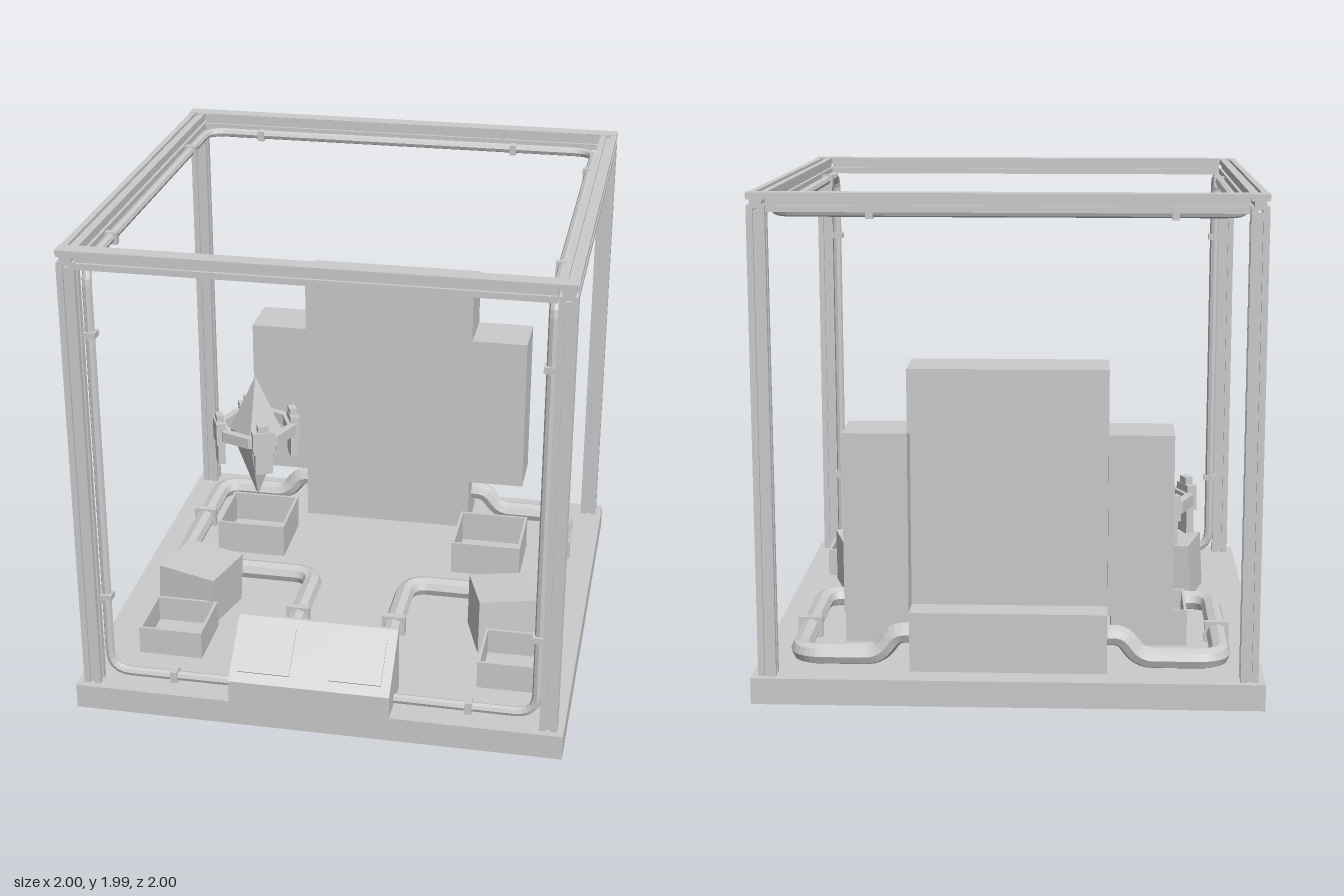
import * as THREE from 'three';

const grey = new THREE.MeshStandardMaterial({ color: 0xcccccc, flatShading: true, side: THREE.DoubleSide });

function add(parent, name, geometry, x = 0, y = 0, z = 0) {
  const mesh = new THREE.Mesh(geometry, grey);
  mesh.name = name;
  mesh.position.set(x, y, z);
  parent.add(mesh);
  return mesh;
}

// Box given by its lower and upper limits
function block(parent, name, [x0, x1], [y0, y1], [z0, z1]) {
  return add(parent, name, new THREE.BoxGeometry(x1 - x0, y1 - y0, z1 - z0),
    (x0 + x1) / 2, (y0 + y1) / 2, (z0 + z1) / 2);
}

function group(parent, name, x = 0, y = 0, z = 0) {
  const g = new THREE.Group();
  g.name = name;
  g.position.set(x, y, z);
  parent.add(g);
  return g;
}

// Pipe along a polyline with rounded corners
function pipe(parent, name, points, radius, bend, segments) {
  const p = points.map(a => new THREE.Vector3(...a));
  const path = new THREE.CurvePath();
  let from = p[0];
  for (let i = 1; i < p.length - 1; i++) {
    const toPrev = p[i - 1].clone().sub(p[i]), toNext = p[i + 1].clone().sub(p[i]);
    const r = Math.min(bend, toPrev.length() * 0.45, toNext.length() * 0.45);
    const a = p[i].clone().addScaledVector(toPrev.normalize(), r);
    const b = p[i].clone().addScaledVector(toNext.normalize(), r);
    path.add(new THREE.LineCurve3(from, a));
    path.add(new THREE.QuadraticBezierCurve3(a, p[i], b));
    from = b;
  }
  path.add(new THREE.LineCurve3(from, p[p.length - 1]));
  return add(parent, name, new THREE.TubeGeometry(path, segments, radius, 8));
}

// Slotted square beam, running along +z before it is turned
function beamGeometry(length) {
  const h = 0.035, w = 0.01, d = 0.012;
  const side = [[-h, -h], [-w, -h], [-w, -h + d], [w, -h + d], [w, -h]];
  const pts = [];
  for (let i = 0; i < 4; i++) {
    for (const [x, y] of side) pts.push(new THREE.Vector2(x, y).rotateAround(new THREE.Vector2(), i * Math.PI / 2));
  }
  return new THREE.ExtrudeGeometry(new THREE.Shape(pts), { depth: length, bevelEnabled: false }).translate(0, 0, -length / 2);
}

// Open tray with thin walls
function tray(parent, x, z, size, height) {
  const g = group(parent, 'tray', x, 0.105, z), s = size / 2, t = 0.012;
  block(g, 'trayFloor', [-s, s], [0, t], [-s, s]);
  for (const k of [-1, 1]) {
    add(g, 'traySide', new THREE.BoxGeometry(t, height, size), k * (s - t / 2), height / 2, 0);
    add(g, 'trayEnd', new THREE.BoxGeometry(size - 2 * t, height, t), 0, height / 2, k * (s - t / 2));
  }
}

// Crate with a hand hole in its back
function crate(parent, x, z, turn, tiltX, tiltZ) {
  const g = group(parent, 'crate', x, 0.1, z), s = 0.132, h = 0.238;
  g.rotation.set(tiltX, turn, tiltZ, 'YXZ');
  block(g, 'crateBody', [-s, s], [0, h], [-s + 0.03, s]);
  const face = new THREE.Shape([[-s, 0], [s, 0], [s, h], [-s, h]].map(a => new THREE.Vector2(...a)));
  face.holes.push(new THREE.Path([[-0.03, 0.09], [-0.03, 0.17], [0.03, 0.17], [0.03, 0.09]].map(a => new THREE.Vector2(...a))));
  add(g, 'crateBack', new THREE.ExtrudeGeometry(face, { depth: 0.03, bevelEnabled: false }), 0, 0, -s);
}

export function createModel() {
  const model = new THREE.Group();
  model.name = 'framedChamber';
  block(model, 'base', [-1, 1], [0, 0.105], [-1, 1]);

  // Frame: four posts and four top beams
  const frame = group(model, 'frame');
  const c = 0.938;
  for (const k of [-1, 1]) {
    for (const j of [-1, 1]) {
      add(frame, 'post', beamGeometry(1.82), k * c, 1.01, j * c).rotation.x = Math.PI / 2;
    }
    add(frame, 'sideBeam', beamGeometry(1.94), k * c, 1.953, 0);
    add(frame, 'crossBeam', beamGeometry(1.8), 0, 1.953, k * c).rotation.y = Math.PI / 2;
  }
  block(frame, 'topTrim', [-0.975, 0.975], [1.975, 1.99], [0.905, 0.972]);
  block(frame, 'topTrim', [-0.975, 0.975], [1.975, 1.99], [-0.972, -0.905]);

  // Thin conduit from the console, up the front posts and round the top
  const conduit = group(model, 'conduit');
  const px = 0.883, top = 1.912;
  pipe(conduit, 'conduitPipe', [[-0.3, 0.128, 0.885], [-px, 0.128, 0.888], [-px, top, 0.892], [-px, top, -0.882],
    [px, top, -0.882], [px, top, 0.892], [px, 0.128, 0.888], [0.28, 0.128, 0.885]], 0.02, 0.09, 360);
  for (const x of [-0.63, 0.52]) block(conduit, 'clip', [x - 0.014, x + 0.014], [1.887, 1.93], [-0.912, -0.857]);
  for (const k of [-1, 1]) {
    for (const y of [0.48, 1.63]) add(conduit, 'clip', new THREE.BoxGeometry(0.055, 0.025, 0.05), k * px, y, 0.894);
    for (const z of [-0.58, 0.58]) add(conduit, 'clip', new THREE.BoxGeometry(0.055, 0.05, 0.028), k * px, 1.91, z);
    add(conduit, 'clip', new THREE.BoxGeometry(0.028, 0.05, 0.055), k * 0.61, 0.13, 0.885);
  }

  // Floor pipes from the console to the cabinet
  for (const k of [-1, 1]) {
    const side = group(model, 'floorPipe');
    pipe(side, 'pipe', [[0.21, 0.26, 0.8], [0.21, 0.26, 0.75], [0.21, 0.142, 0.68], [0.21, 0.142, -0.012],
      [0.84, 0.142, -0.012], [0.84, 0.142, -0.8], [0.52, 0.142, -0.8], [0.45, 0.235, -0.8], [0.37, 0.235, -0.8]]
      .map(([x, y, z]) => [k * x, y, z]), 0.042, 0.1, 150);
    add(side, 'pipeClip', new THREE.BoxGeometry(0.1, 0.09, 0.03), k * 0.21, 0.145, 0.35);
    add(side, 'pipeClip', new THREE.BoxGeometry(0.1, 0.09, 0.03), k * 0.84, 0.145, -0.46);
  }

  // Console with a sloped top and two raised screens
  const console_ = group(model, 'console');
  const profile = new THREE.Shape([[-1, 0.02], [-0.77, 0.02], [-0.77, 0.388], [-0.785, 0.388], [-1, 0.2]]
    .map(a => new THREE.Vector2(...a)));
  const body = add(console_, 'consoleBody', new THREE.ExtrudeGeometry(profile, { depth: 0.66, bevelEnabled: false }), -0.355, 0, 0);
  body.rotation.y = Math.PI / 2;
  for (const x of [-0.217, 0.158]) {
    const screen = add(console_, 'screen', new THREE.BoxGeometry(0.215, 0.2, 0.014), x, 0.295, 0.892);
    screen.rotation.x = -Math.atan2(0.215, 0.188);
  }

  // Cabinet with side wings; the middle is set back at the rear
  const cabinet = group(model, 'cabinet');
  block(cabinet, 'cabinetFoot', [-0.388, 0.388], [0.1, 0.345], [-0.895, -0.66]);
  block(cabinet, 'cabinetMiddle', [-0.388, 0.388], [0.345, 1.062], [-0.775, -0.66]);
  block(cabinet, 'cabinetHead', [-0.388, 0.388], [1.062, 1.315], [-0.895, -0.66]);
  block(cabinet, 'cabinetWing', [-0.64, -0.388], [0.345, 1.062], [-0.895, -0.66]);
  block(cabinet, 'cabinetWing', [0.388, 0.64], [0.345, 1.062], [-0.895, -0.66]);

  // Trays and crates
  tray(model, -0.56, -0.375, 0.31, 0.15);
  tray(model, 0.528, -0.375, 0.31, 0.15);
  tray(model, -0.68, 0.572, 0.27, 0.12);
  tray(model, 0.752, 0.572, 0.27, 0.12);
  crate(model, -0.665, 0.285, -0.25, 0, -0.055);
  crate(model, 0.675, 0.29, 0.3, -0.055, -0.02);

  // Floating crystal
  const floater = group(model, 'floatingCrystal', -0.56, 0, -0.37);
  add(floater, 'crystalTop', new THREE.ConeGeometry(0.125, 0.27, 4), 0, 0.8, 0);
  add(floater, 'crystalBottom', new THREE.ConeGeometry(0.125, 0.33, 4).rotateX(Math.PI), 0, 0.5, 0);

  // Eight-sided ring with four pods
  const ring = group(floater, 'ring', 0, 0.68, 0);
  ring.rotation.y = 0.42;
  const band = [[0.145, -0.025], [0.182, -0.025], [0.182, 0.025], [0.145, 0.025], [0.145, -0.025]];
  add(ring, 'ringBand', new THREE.LatheGeometry(band.map(a => new THREE.Vector2(...a)), 8, Math.PI / 8));
  for (let i = 0; i < 4; i++) {
    const pod = group(ring, 'pod');
    pod.rotation.y = i * Math.PI / 2;
    block(pod, 'podBody', [-0.05, 0.05], [-0.05, 0.055], [0.15, 0.192]);
    block(pod, 'podLeg', [-0.04, 0.04], [-0.15, -0.05], [0.152, 0.185]);
    block(pod, 'podStud', [-0.025, 0.025], [0.055, 0.085], [0.152, 0.185]);
  }
  return model;
}
